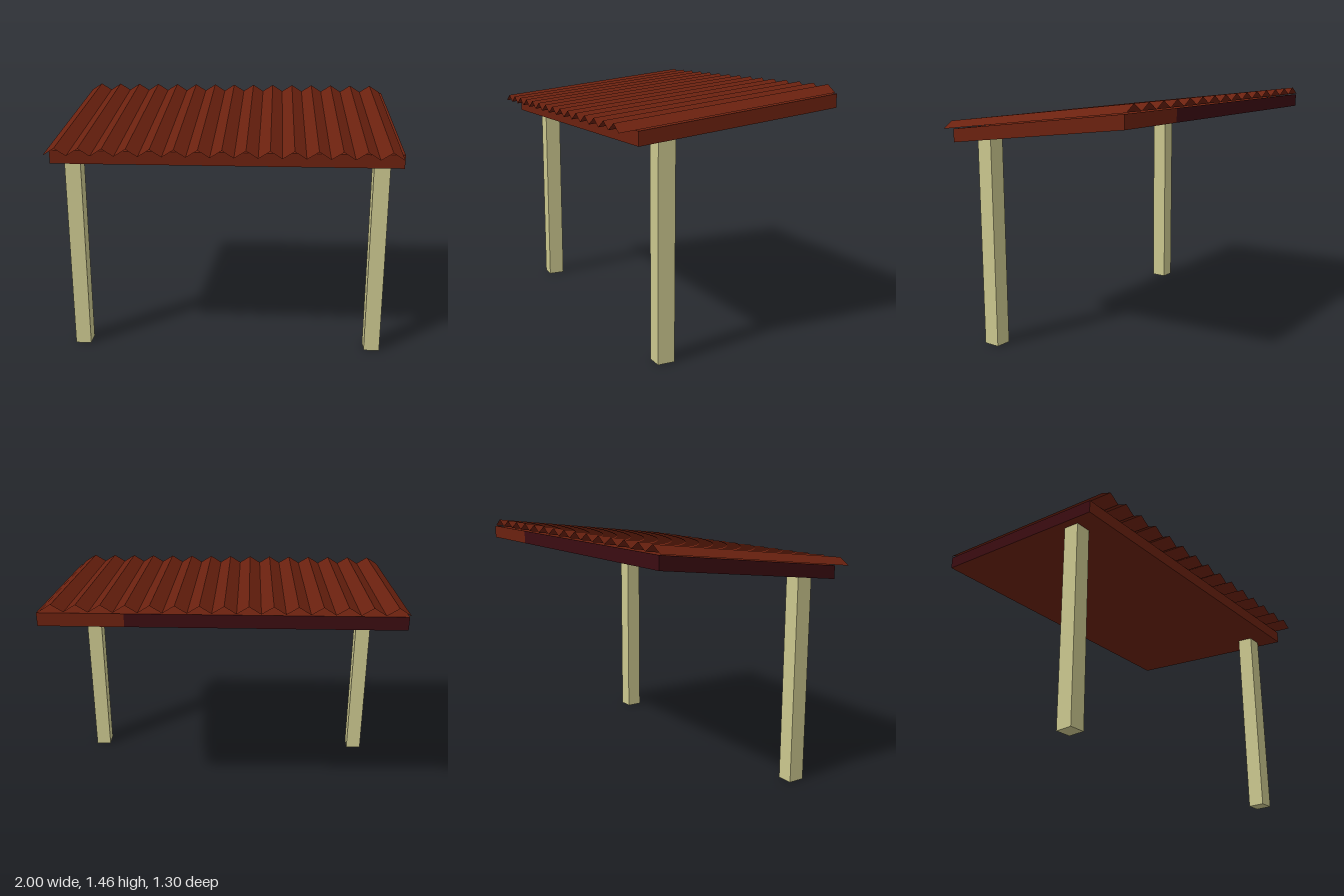
import * as THREE from 'three';

const SLOPE = 0.1167; // the roof rises towards the back

const rust = new THREE.MeshStandardMaterial({ color: 0x6b210f, flatShading: true, side: THREE.DoubleSide });
rust.name = 'rust brown';
const plum = new THREE.MeshStandardMaterial({ color: 0x3b0c11, flatShading: true });
plum.name = 'dark plum';
const timber = new THREE.MeshStandardMaterial({ color: 0xcbc78e, flatShading: true });
timber.name = 'pale timber';

// Raises every vertex along the roof pitch; ends stay vertical
function pitch(geometry, extra = () => 0) {
  const p = geometry.attributes.position;
  for (let i = 0; i < p.count; i++) {
    p.setY(i, p.getY(i) - SLOPE * p.getZ(i) + extra(p.getX(i)));
  }
  geometry.computeVertexNormals();
  return geometry;
}

function add(group, name, geometry, material) {
  const mesh = new THREE.Mesh(geometry, material);
  mesh.name = name;
  group.add(mesh);
}

// One length of the roof deck between two x positions
function deckGeometry(x0, x1) {
  const g = new THREE.BoxGeometry(x1 - x0, 0.077, 1.2);
  g.translate((x0 + x1) / 2, 1.2977, -0.05);
  return pitch(g);
}

export function createModel() {
  const model = new THREE.Group();
  model.name = 'leanToShelter';

  // Square posts under the front edge
  for (const side of [-1, 1]) {
    const post = new THREE.BoxGeometry(0.094, 1.22, 0.1);
    post.translate(side * 0.896, 0.61, 0.365);
    add(model, side > 0 ? 'leftPost' : 'rightPost', post, timber);
  }

  // Sloping deck, with dark trim on one end and most of the back
  add(model, 'roofDeckMain', deckGeometry(-0.99, 0.53), [rust, plum, rust, rust, rust, plum]);
  add(model, 'roofDeckEnd', deckGeometry(0.53, 1), rust);

  // Corrugated sheet: fifteen ridges, open underneath
  const ridges = 15, x0 = -1, width = 1.985;
  const sheet = new THREE.PlaneGeometry(width, 1.3, ridges * 2, 1);
  sheet.rotateX(-Math.PI / 2);
  sheet.translate(x0 + width / 2, 1.341, 0);
  pitch(sheet, (x) => (Math.round(((x - x0) / width) * ridges * 2) % 2 ? 0.042 : 0));
  add(model, 'corrugatedSheet', sheet, rust);

  return model;
}
